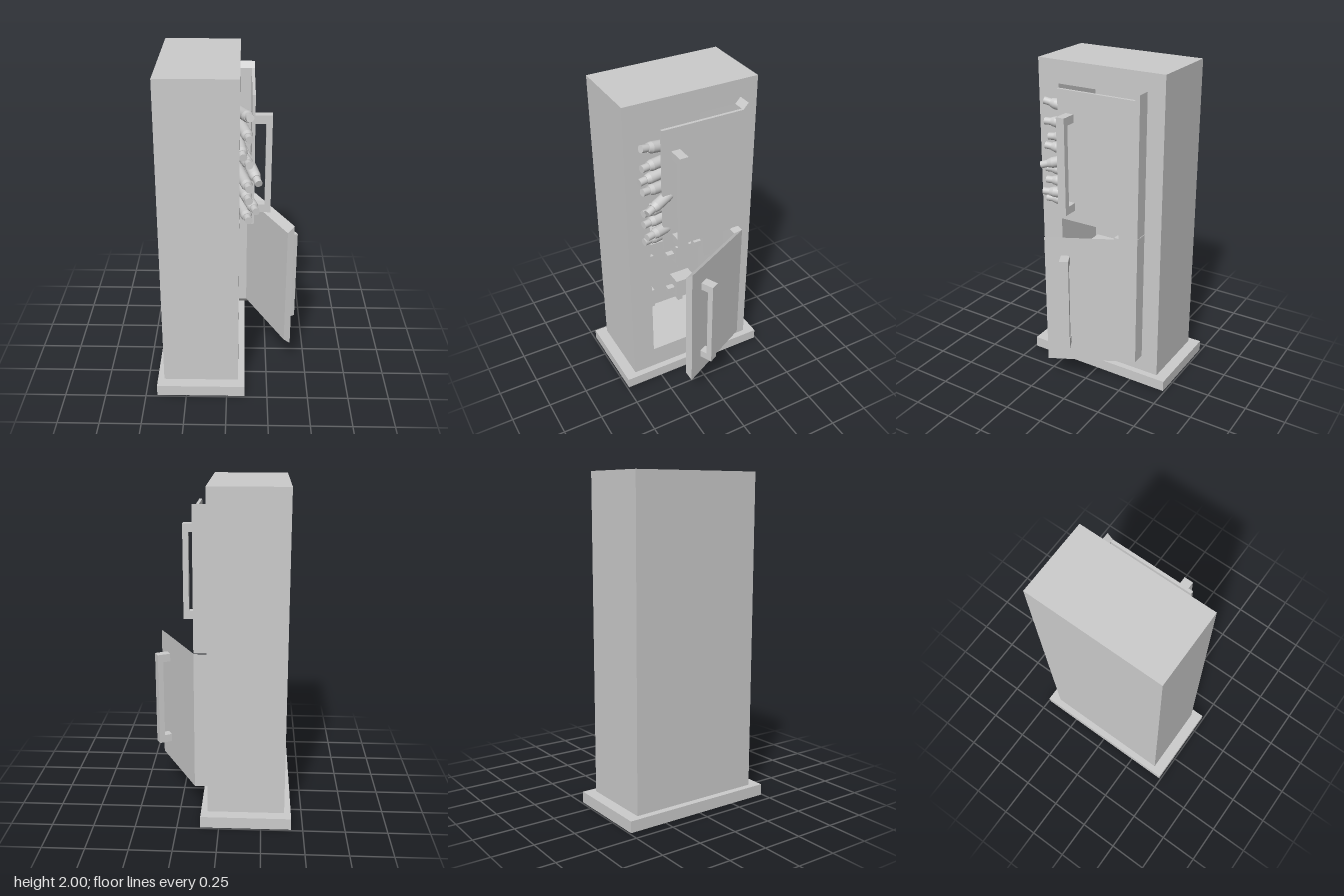
import * as THREE from 'three';

const material = new THREE.MeshStandardMaterial({ color: 0xcccccc, side: THREE.DoubleSide });

function add(parent, name, geometry, x = 0, y = 0, z = 0) {
  const mesh = new THREE.Mesh(geometry, material);
  mesh.name = name;
  mesh.position.set(x, y, z);
  parent.add(mesh);
  return mesh;
}

// Box given by its limits on each axis
function block(parent, name, [x0, x1], [y0, y1], [z0, z1]) {
  return add(parent, name, new THREE.BoxGeometry(x1 - x0, y1 - y0, z1 - z0),
    (x0 + x1) / 2, (y0 + y1) / 2, (z0 + z1) / 2);
}

// Bent door: plan outline of [x, z, inset]; inset shortens the door at that corner
function door(parent, name, outline, y0, y1) {
  const shape = new THREE.Shape(outline.map(([x, z]) => new THREE.Vector2(x, -z)));
  const geometry = new THREE.ExtrudeGeometry(shape, { depth: y1 - y0, bevelEnabled: false });
  geometry.rotateX(-Math.PI / 2);
  const p = geometry.attributes.position;
  for (let i = 0; i < p.count; i++) {
    const corner = outline.find(([x, z]) => Math.hypot(x - p.getX(i), z - p.getZ(i)) < 1e-4);
    const top = p.getY(i) > (y1 - y0) / 2;
    p.setY(i, top ? y1 - corner[2] : y0 + corner[2]);
  }
  geometry.computeVertexNormals();
  return add(parent, name, geometry);
}

// Bar handle standing off along +x, from its own origin
function handle(parent, name, depth) {
  const group = new THREE.Group();
  group.name = name;
  block(group, 'handleBar', [depth - 0.035, depth], [-0.3, 0.3], [-0.027, 0.027]);
  for (const s of [-1, 1]) {
    block(group, 'handleLeg', [0, depth - 0.035], [s * 0.275 - 0.025, s * 0.275 + 0.025], [-0.027, 0.027]);
  }
  parent.add(group);
  return group;
}

// Bottle lying from its base to the tip of its neck
function bottle(parent, base, tip) {
  const a = new THREE.Vector3(...base);
  const dir = new THREE.Vector3(...tip).sub(a);
  const h = dir.length();
  const profile = [[0, 0], [0.033, 0], [0.033, 0.78], [0.026, 0.86], [0.022, 0.86], [0.022, 1], [0, 1]];
  // Repeated profile points keep the rims sharp
  const points = profile.flatMap(([r, t]) => {
    const v = new THREE.Vector2(r, t * h);
    return r > 0 ? [v, v.clone()] : [v];
  });
  const mesh = add(parent, 'bottle', new THREE.LatheGeometry(points, 20), ...base);
  mesh.quaternion.setFromUnitVectors(new THREE.Vector3(0, 1, 0), dir.normalize());
}

// Dispenser: block with a spout below and a nozzle in front
function dispenser(parent, x, y, z) {
  const group = new THREE.Group();
  group.name = 'dispenser';
  block(group, 'dispenserBody', [-0.05, 0.05], [-0.065, 0.075], [-0.07, 0.07]);
  block(group, 'spout', [-0.005, 0.03], [-0.11, -0.065], [0.015, 0.05]);
  block(group, 'nozzle', [-0.02, 0.02], [-0.03, 0.01], [0.07, 0.12]);
  group.position.set(x, y, z);
  parent.add(group);
}

export function createModel() {
  const model = new THREE.Group();
  model.name = 'cabinet';

  // Plinth and hollow body
  block(model, 'plinth', [-0.43, 0.11], [0, 0.07], [-0.49, 0.49]);
  block(model, 'bottom', [-0.39, 0.03], [0.07, 0.215], [-0.42, 0.42]);
  block(model, 'top', [-0.39, 0.03], [1.86, 2], [-0.42, 0.42]);
  block(model, 'farWall', [-0.39, -0.33], [0.215, 1.86], [-0.42, 0.42]);
  block(model, 'frontWall', [-0.33, 0.03], [0.215, 1.86], [0.28, 0.42]);
  block(model, 'backWall', [-0.33, 0.03], [0.215, 1.86], [-0.42, -0.28]);
  block(model, 'shelf', [-0.33, 0.03], [1, 1.07], [-0.28, 0.28]);

  // Doorway side with two openings
  const side = new THREE.Shape([[-0.42, 0.07], [0.42, 0.07], [0.42, 2], [-0.42, 2]]
    .map((p) => new THREE.Vector2(...p)));
  for (const [y0, y1] of [[0.215, 1], [1.07, 1.86]]) {
    side.holes.push(new THREE.Path([[-0.28, y0], [-0.28, y1], [0.28, y1], [0.28, y0]]
      .map((p) => new THREE.Vector2(...p))));
  }
  const frame = new THREE.ExtrudeGeometry(side, { depth: 0.04, bevelEnabled: false });
  add(model, 'doorFrame', frame.rotateY(Math.PI / 2), 0.03);

  // Upper door slightly ajar, lower door swung wider
  door(model, 'upperDoor', [
    [0.07, -0.31, 0], [0.07, -0.277, 0.036], [0.137, -0.277, 0.036], [0.137, 0.233, 0.036],
    [0.155, 0.233, 0.036], [0.155, -0.277, 0.036], [0.155, -0.31, 0],
  ], 1.035, 1.893);
  door(model, 'lowerDoor', [
    [0.07, -0.31, 0], [0.07, -0.277, 0.038], [0.12, -0.277, 0.038], [0.36, 0.198, 0.038],
    [0.4, 0.18, 0], [0.155, -0.31, 0],
  ], 0.18, 1.03);
  handle(model, 'upperHandle', 0.098).position.set(0.155, 1.42, 0.15);
  const lowerHandle = handle(model, 'lowerHandle', 0.082);
  lowerHandle.position.set(0.345, 0.612, 0.07);
  lowerHandle.rotation.y = 0.46;

  // Bottles reaching out past the upper door: base height, tip height, base x, tip x
  const bottles = [
    [1.7, 1.765, 0.06, 0.125], [1.64, 1.64, 0.06, 0.125], [1.56, 1.535, 0.05, 0.09],
    [1.46, 1.49, 0.06, 0.125], [1.47, 1.38, 0.08, 0.178], [1.34, 1.345, 0.06, 0.125],
    [1.27, 1.27, 0.06, 0.125], [1.21, 1.207, 0.08, 0.165], [1.15, 1.15, 0.06, 0.125],
  ];
  for (const [y0, y1, x0, x1] of bottles) bottle(model, [x0, y0, 0.04], [x1, y1, 0.345]);

  // Dispensers in the lower compartment
  for (const y of [0.37, 0.66]) {
    dispenser(model, -0.27, y, -0.12);
    dispenser(model, -0.27, y, 0.19);
  }
  for (const y of [0.38, 0.91]) dispenser(model, -0.02, y, -0.18);

  return model;
}
